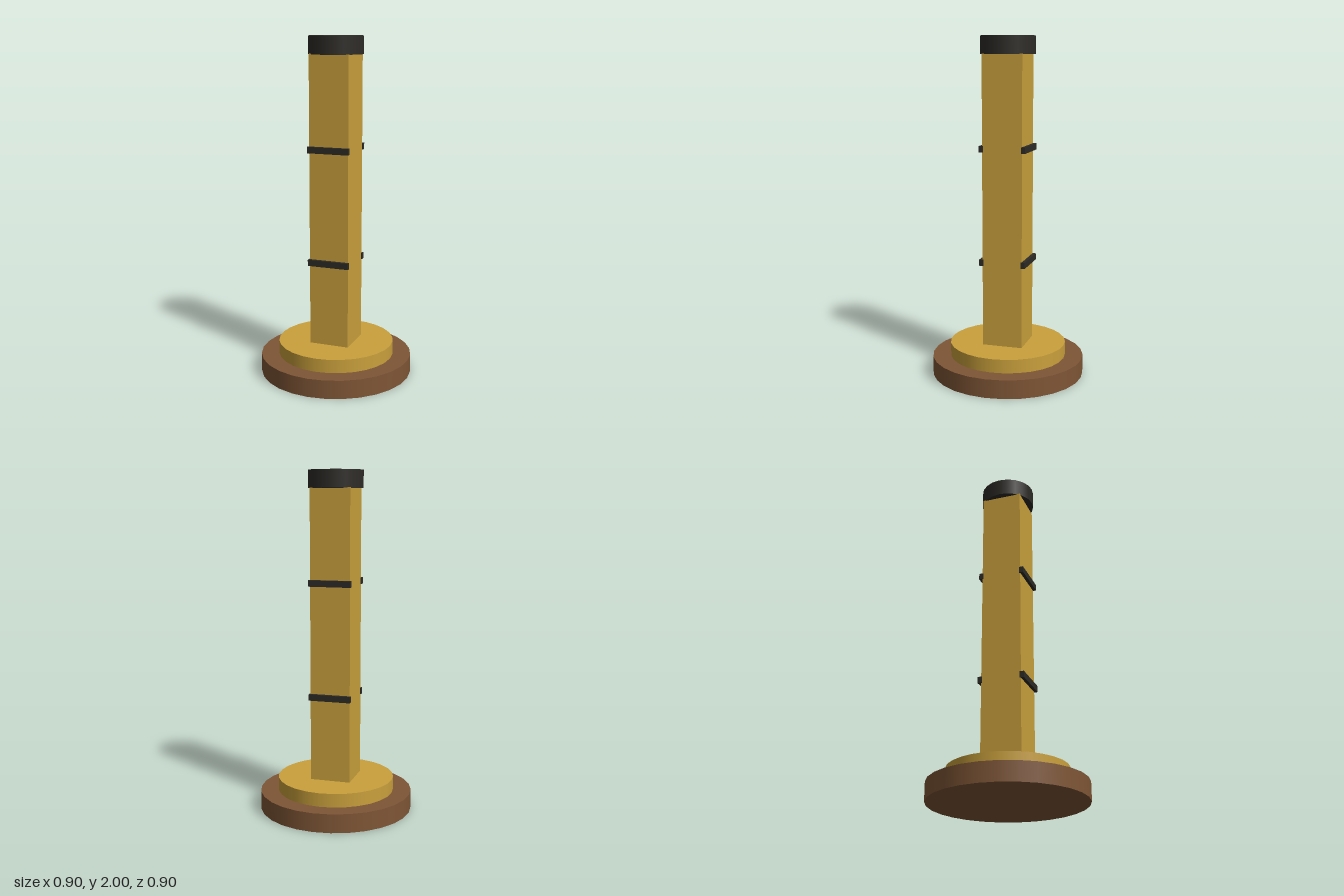
import * as THREE from 'three';

export function createModel() {
  const group = new THREE.Group();
  const wood = new THREE.MeshStandardMaterial({ color: 0x7f5636 });
  const gold = new THREE.MeshStandardMaterial({ color: 0xc9a03c });
  const dark = new THREE.MeshStandardMaterial({ color: 0x2e2b27 });

  // Adds a mesh whose underside sits at height y
  function add(name, geometry, material, y, height, z = 0) {
    const mesh = new THREE.Mesh(geometry, material);
    mesh.name = name;
    mesh.position.set(0, y + height / 2, z);
    group.add(mesh);
  }
  const disc = (name, radius, y, height, sides, material) =>
    add(name, new THREE.CylinderGeometry(radius, radius, height, sides), material, y, height);

  // Stepped round foot
  disc('base', 0.452, 0, 0.11, 28, wood);
  disc('plinth', 0.345, 0.11, 0.08, 28, gold);

  // Square column with a round cap
  add('column', new THREE.BoxGeometry(0.238, 1.71, 0.238), gold, 0.19, 1.71);
  disc('cap', 0.159, 1.897, 0.103, 20, dark);

  // Two bands on the front face and two on the back
  for (const side of [1, -1]) {
    for (const y of [0.673, 1.341]) {
      add(side > 0 ? 'frontBand' : 'backBand',
        new THREE.BoxGeometry(0.25, 0.037, 0.025), dark, y, 0.037, side * 0.126);
    }
  }
  return group;
}
